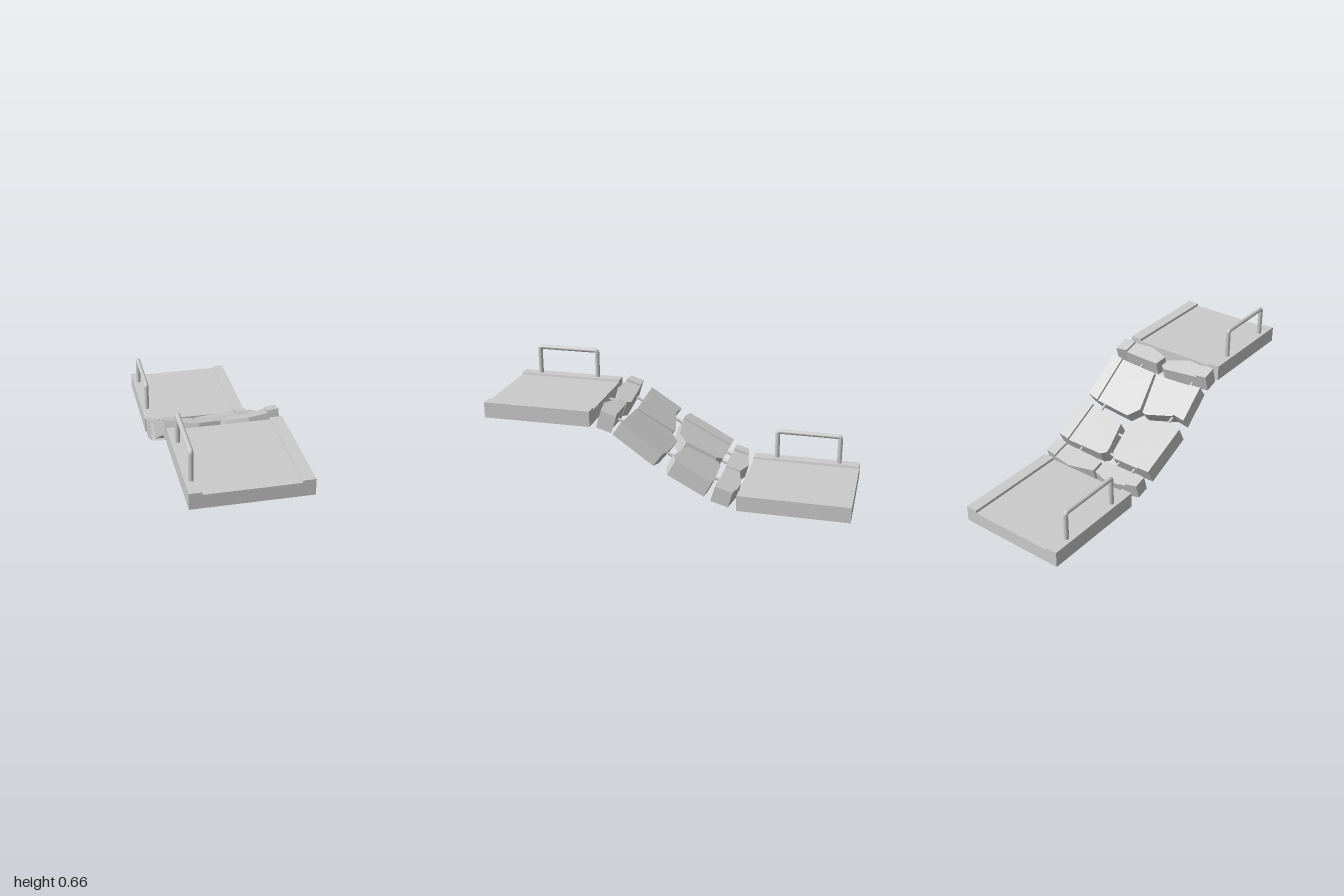
import * as THREE from 'three';

const LEFT = -0.295, RIGHT = 0.31, CURB_L = -0.232, CURB_R = 0.247, STEP = 0.013;
const mat = new THREE.MeshStandardMaterial({ color: 0xcccccc });
const flat = new THREE.MeshStandardMaterial({ color: 0xcccccc, flatShading: true });

function add(parent, name, geometry, material = flat) {
  const mesh = new THREE.Mesh(geometry, material);
  mesh.name = name;
  parent.add(mesh);
  return mesh;
}

// Intact deck: channel section with a raised curb along each side
function deckSlab(zMin, y) {
  const section = [[LEFT, 0], [RIGHT, 0], [RIGHT, 0.487 - 0.4], [CURB_R, 0.087], [CURB_R - 0.003, 0.074],
    [CURB_L + 0.003, 0.074], [CURB_L, 0.087], [LEFT, 0.087]];
  const shape = new THREE.Shape(section.map(([a, b]) => new THREE.Vector2(a, b)));
  return new THREE.ExtrudeGeometry(shape, { depth: 0.6, bevelEnabled: false }).translate(0, y, zMin);
}

// Bent pipe handrail with two posts
function railGeometry(z0, z1, y) {
  const v = (h, z) => new THREE.Vector3(-0.263, y + h, z);
  const top = 0.157, r = 0.014, path = new THREE.CurvePath();
  path.add(new THREE.LineCurve3(v(-0.01, z0), v(top - r, z0)));
  path.add(new THREE.QuadraticBezierCurve3(v(top - r, z0), v(top, z0), v(top, z0 + r)));
  path.add(new THREE.LineCurve3(v(top, z0 + r), v(top, z1 - r)));
  path.add(new THREE.QuadraticBezierCurve3(v(top, z1 - r), v(top, z1), v(top - r, z1)));
  path.add(new THREE.LineCurve3(v(top - r, z1), v(-0.01, z1)));
  return new THREE.TubeGeometry(path, 120, 0.013, 12);
}

// Keep the part of an outline where side * (x - limit) > 0
function clip(outline, limit, side) {
  const out = [];
  outline.forEach((p, i) => {
    const q = outline[(i + 1) % outline.length];
    const dp = side * (p[0] - limit), dq = side * (q[0] - limit);
    if (dp > 0) out.push(p);
    if (dp * dq < 0) {
      const t = dp / (dp - dq);
      out.push([limit, p[1] + (q[1] - p[1]) * t]);
    }
  });
  return out;
}

// Prism over an x/z outline, laid on the tilted plane of its row
function fragment(outline, row, from, to) {
  const shape = new THREE.Shape(outline.map(([x, z]) => new THREE.Vector2(x, -z)));
  const geo = new THREE.ExtrudeGeometry(shape, { depth: 1, bevelEnabled: false }).rotateX(-Math.PI / 2);
  const a = Math.atan(row.slope), pos = geo.attributes.position;
  for (let i = 0; i < pos.count; i++) {
    const x = pos.getX(i), z = pos.getZ(i), d = pos.getY(i) > 0.5 ? to : from;
    const y = row.y + row.slope * (z - row.z) + row.roll * (Math.abs(x) - 0.2);
    pos.setXYZ(i, x, y - d * Math.cos(a), z + d * Math.sin(a));
  }
  geo.computeVertexNormals();
  return geo;
}

// Four rows of broken deck, from the high end to the low end
const rows = [
  { y: 0.478, z: 0.30, slope: 0.3, roll: 0.08, thick: 0.1, pieces: [
    [[-0.295, 0.27], [-0.02, 0.26], [0.01, 0.28], [0, 0.33], [-0.12, 0.368], [-0.295, 0.345]],
    [[0.045, 0.275], [0.25, 0.265], [0.31, 0.25], [0.31, 0.335], [0.14, 0.368], [0.03, 0.34]]] },
  { y: 0.284, z: 0.005, slope: 0.69, roll: 0.04, thick: 0.085, pieces: [
    [[-0.295, 0.22], [0.005, 0.215], [-0.045, 0.02], [-0.07, 0.015], [-0.24, 0.055], [-0.308, 0.045]],
    [[0.02, 0.22], [0.31, 0.225], [0.318, 0], [0.25, -0.012], [0.03, -0.02], [-0.022, 0.03]]] },
  { y: 0.284, z: 0, slope: 0.51, roll: 0.06, thick: 0.098, pieces: [
    [[-0.305, -0.27], [-0.06, -0.26], [-0.035, -0.23], [-0.013, -0.06], [-0.06, -0.01], [-0.25, 0.012], [-0.318, -0.005]],
    [[0, -0.245], [0.03, -0.265], [0.25, -0.275], [0.315, -0.27], [0.31, -0.07], [0.24, -0.045], [0.03, -0.075], [0, -0.22]]] },
  { y: 0.11, z: -0.34, slope: 0.28, roll: 0.03, thick: 0.09, pieces: [
    [[-0.295, -0.29], [-0.06, -0.28], [-0.02, -0.29], [-0.02, -0.365], [-0.12, -0.395], [-0.295, -0.36]],
    [[-0.005, -0.365], [0.14, -0.4], [0.31, -0.38], [0.31, -0.285], [0.05, -0.285], [-0.005, -0.295]]] },
];

// Reinforcing bars bridging the cracks: [start, end]
const bars = [
  [[-0.235, 0.44, 0.42], [-0.235, 0.42, 0.33]], [[-0.05, 0.44, 0.42], [-0.05, 0.42, 0.33]],
  [[-0.2, 0.42, 0.32], [-0.2, 0.36, 0.2]], [[0.15, 0.41, 0.32], [0.15, 0.36, 0.2]],
  [[-0.22, 0.3, 0.09], [-0.22, 0.23, -0.04]], [[0.2, 0.27, 0.04], [0.2, 0.19, -0.1]],
  [[-0.06, 0.165, -0.1], [0.06, 0.175, -0.1]], [[-0.08, 0.09, -0.2], [0.04, 0.112, -0.2]],
  [[-0.2, 0.12, -0.23], [-0.2, 0.085, -0.32]], [[-0.09, 0.11, -0.23], [-0.09, 0.075, -0.32]],
  [[0.16, 0.12, -0.23], [0.16, 0.085, -0.32]],
];

export function createModel() {
  const model = new THREE.Group();
  model.name = 'collapsedWalkway';

  // Upper deck at the front, lower deck at the back
  add(model, 'upperDeck', deckSlab(0.4, 0.4));
  add(model, 'lowerDeck', deckSlab(-1, 0));
  add(model, 'upperHandrail', railGeometry(0.54, 0.89, 0.487), mat);
  add(model, 'lowerHandrail', railGeometry(-0.885, -0.53, 0.087), mat);

  // Broken pieces, each with its strip of curb on the outer side
  rows.forEach((row, r) => row.pieces.forEach((outline, side) => {
    const piece = new THREE.Group();
    piece.name = `brokenPiece${r + 1}${side ? 'Left' : 'Right'}`;
    add(piece, 'pieceBody', fragment(outline, row, row.thick, STEP));
    const edge = side ? clip(outline, CURB_R, 1) : clip(outline, CURB_L, -1);
    add(piece, 'pieceCurb', fragment(edge, row, STEP, 0));
    model.add(piece);
  }));

  // Exposed bars
  for (const [a, b] of bars) {
    const start = new THREE.Vector3(...a), end = new THREE.Vector3(...b);
    const line = new THREE.LineCurve3(start, end);
    add(model, 'reinforcingBar', new THREE.TubeGeometry(line, 1, 0.008, 8), mat);
  }
  return model;
}
